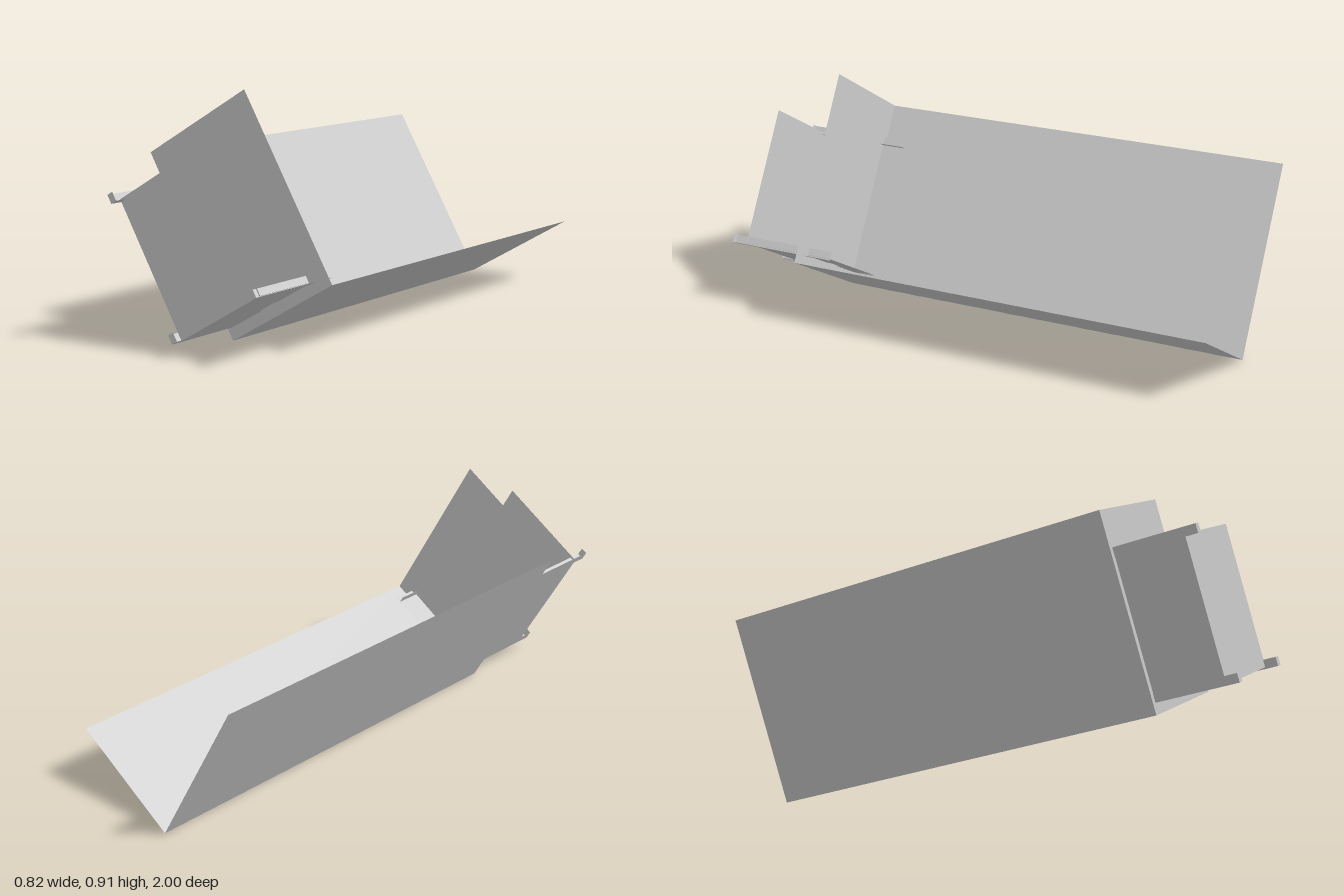
import * as THREE from 'three';

export function createModel() {
  const grey = new THREE.MeshStandardMaterial({ color: 0xcccccc, side: THREE.DoubleSide });
  grey.name = 'light grey';

  const model = new THREE.Group();
  model.name = 'tiltedCar';

  // Everything is laid out in a frame leaning 30 degrees about z
  const tilt = new THREE.Group();
  tilt.name = 'tiltedFrame';
  tilt.position.set(-0.032, 0.003, 0);
  tilt.rotation.z = Math.PI / 6;
  model.add(tilt);

  const add = (parent, name, geometry) => {
    const mesh = new THREE.Mesh(geometry, grey);
    mesh.name = name;
    parent.add(mesh);
  };
  // Sheet facing down, spanning u0..u1 and z0..z1
  const floorSheet = (parent, name, u0, u1, v, z0, z1) =>
    add(parent, name, new THREE.PlaneGeometry(u1 - u0, z1 - z0)
      .rotateX(Math.PI / 2).translate((u0 + u1) / 2, v, (z0 + z1) / 2));
  // Sheet facing sideways, spanning v0..v1 and z0..z1
  const sideSheet = (parent, name, u, v0, v1, z0, z1) =>
    add(parent, name, new THREE.PlaneGeometry(z1 - z0, v1 - v0)
      .rotateY(-Math.PI / 2).translate(u, (v0 + v1) / 2, (z0 + z1) / 2));

  // Shell of three sheets meeting at one corner: front, side and floor
  function openShell(name, u, v, w, h, z0, z1) {
    const shell = new THREE.Group();
    shell.name = name;
    add(shell, name + 'Front', new THREE.PlaneGeometry(w, h).translate(u + w / 2, v + h / 2, z1));
    floorSheet(shell, name + 'Floor', u, u + w, v, z0, z1);
    sideSheet(shell, name + 'Side', u, v, v + h, z0, z1);
    tilt.add(shell);
    return shell;
  }

  // Main body and the smaller nose section
  const body = openShell('body', 0, 0, 0.506, 0.756, -1, 0.67);
  const nose = openShell('nose', 0.023, 0.046, 0.4, 0.546, 0.57, 0.95);

  // Rails along three corners of the nose
  [[0.021, 0.043], [0.4185, 0.039], [0.021, 0.5815]].forEach(([u, v], i) =>
    openShell('rail' + (i + 1), u, v, 0.026, 0.035, 0.57, 1));

  // Slats across the body floor
  const gap = 0.003;
  [0.463, 0.361, 0.254, -0.056, -0.163, -0.377, -0.484, -0.805, -0.912].forEach((z) =>
    floorSheet(body, 'floorSlat', 0.035, 0.445, -gap, z - 0.024, z + 0.024));

  // Doors and windows on the body side
  [[-0.81, 0.11], [-0.41, 0.25], [-0.2, 0.25], [0.49, 0.11]].forEach(([z, v]) =>
    sideSheet(body, 'sidePanel', -gap, v, 0.675, z, z + 0.155));

  // Panels on the nose floor and side
  for (const [u0, u1] of [[0.045, 0.18], [0.26, 0.398]]) {
    floorSheet(nose, 'noseFloorPanel', u0, u1, 0.046 - gap, 0.87, 0.918);
    floorSheet(nose, 'noseFloorPanel', u0, u1, 0.046 - gap, 0.62, 0.85);
  }
  for (const z of [0.7, 0.82])
    sideSheet(nose, 'noseSidePanel', 0.023 - gap, 0.12, 0.53, z, z + 0.08);

  return model;
}
